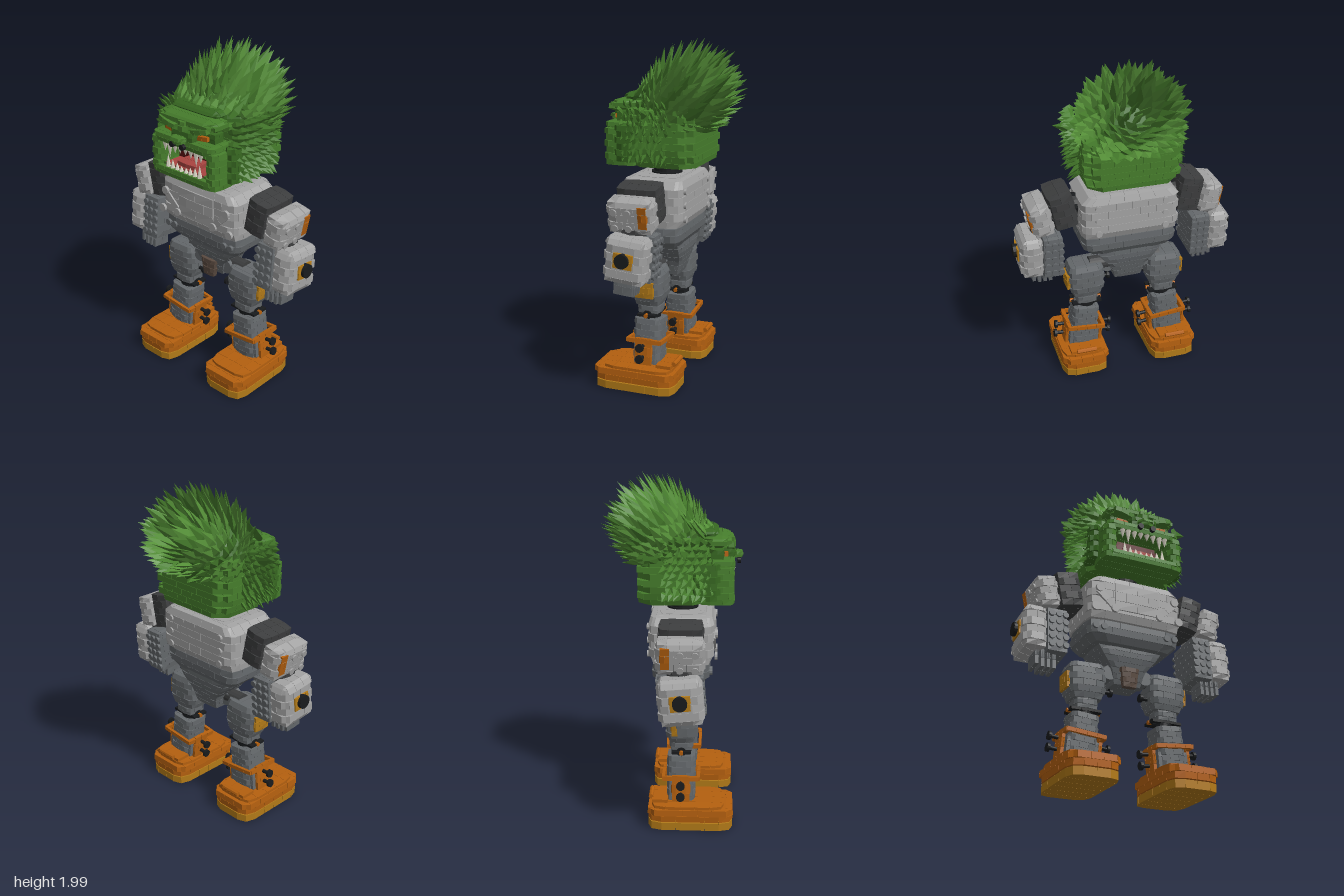
import * as THREE from 'three';
import { mergeGeometries } from 'three/addons/utils/BufferGeometryUtils.js';

const COLORS = {
  light: 0xa3a3a3, grey: 0x64686b, dark: 0x3c3d3e, black: 0x191b1d, green: 0x467d2c, darkGreen: 0x376821,
  leaf: 0x558f38, orange: 0xb4600f, amber: 0xb27a18, brown: 0x5a4a40, red: 0x5a1214, pink: 0xa84440, white: 0xd8d4c4,
};
const V = (x, y, z) => new THREE.Vector3(x, y, z);
const span = (n, size, f) => Array.from({ length: n }, (_, i) => f(n === 1 ? 0 : (i / (n - 1) - 0.5) * size));
const STRAIGHT = [[0, 1, 1], [1, 1, 1]];

export function createModel() {
  const root = new THREE.Group();
  const mats = {};
  for (const [k, color] of Object.entries(COLORS)) {
    mats[k] = new THREE.MeshStandardMaterial({ color, flatShading: true });
  }
  let seed = 7;
  const rand = () => (seed = (seed * 16807) % 2147483647) / 2147483647;

  function add(parent, name, geo, mat, x = 0, y = 0, z = 0, rx = 0, ry = 0, rz = 0) {
    const m = new THREE.Mesh(geo, mats[mat]);
    m.name = name;
    m.position.set(x, y, z);
    m.rotation.set(rx, ry, rz);
    parent.add(m);
    return m;
  }
  function group(name, x = 0, y = 0, z = 0, rx = 0, rz = 0) {
    const g = new THREE.Group();
    g.name = name;
    g.position.set(x, y, z);
    g.rotation.set(rx, 0, rz);
    root.add(g);
    return g;
  }

  // Staggered shell of bricks round a solid core. Upright edges are cut back by
  // cut, top and bottom edges by rim; profile rows are [height 0..1, x scale, z scale].
  function bricks(w, h, d, [nx, ny, nz], cut = 0.005, rim = 0.003, profile = STRAIGHT) {
    const size = [w, h, d];
    const shape = (geo) => {
      const p = geo.attributes.position;
      for (let i = 0; i < p.count; i++) {
        const v = [p.getX(i), p.getY(i), p.getZ(i)];
        const outer = v.map((c, a) => Math.abs(c) > size[a] / 2 - 0.001);
        const pull = outer[0] && outer[2] ? cut : rim;
        if (outer.filter(Boolean).length > 1) {
          v.forEach((c, a) => { if (outer[a]) v[a] -= Math.sign(c) * (a === 1 ? rim : pull); });
        }
        const t = THREE.MathUtils.clamp(v[1] / h + 0.5, 0, 1);
        const k = Math.max(1, profile.findIndex((r) => r[0] >= t));
        const a = profile[k - 1], b = profile[k], f = (t - a[0]) / (b[0] - a[0]);
        p.setXYZ(i, v[0] * (a[1] + (b[1] - a[1]) * f), v[1], v[2] * (a[2] + (b[2] - a[2]) * f));
      }
      return geo;
    };
    const stops = (len, n, shift) => {
      const s = [-len / 2];
      for (let i = 1; i < n + (shift ? 1 : 0); i++) s.push(-len / 2 + ((i - (shift ? 0.5 : 0)) * len) / n);
      return [...s, len / 2];
    };
    const inset = [Math.max(cut, rim), rim, Math.max(cut, rim)], g = 0.0014;
    const out = [shape(new THREE.BoxGeometry(...size.map((s, a) => Math.max(s - 2 * inset[a] - 0.005, s * 0.3)), 1, 6, 1))];
    const ys = stops(h, ny, false);
    for (let j = 0; j < ny; j++) {
      const xs = stops(w, nx, j % 2), zs = stops(d, nz, j % 2);
      for (let i = 0; i < xs.length - 1; i++) for (let k = 0; k < zs.length - 1; k++) {
        if (i && k && j && i < xs.length - 2 && k < zs.length - 2 && j < ny - 1) continue;
        const b = new THREE.BoxGeometry(xs[i + 1] - xs[i] - g, ys[j + 1] - ys[j] - g, zs[k + 1] - zs[k] - g);
        out.push(shape(b.translate((xs[i] + xs[i + 1]) / 2, (ys[j] + ys[j + 1]) / 2, (zs[k] + zs[k + 1]) / 2)));
      }
    }
    return mergeGeometries(out);
  }
  // Grid of round studs facing z
  function studs(nx, ny, w, h, r = 0.019) {
    const list = span(nx, w, (x) => span(ny, h, (y) =>
      new THREE.CylinderGeometry(r, r, 0.016, 12).rotateX(Math.PI / 2).translate(x, y, 0))).flat();
    return mergeGeometries(list);
  }
  const rod = (r, len, n = 16) => new THREE.CylinderGeometry(r, r, len, n);
  // Pin with a head, along x
  function pin(parent, x, y, z, s) {
    add(parent, 'pinShaft', rod(0.011, 0.06), 'black', x, y, z, 0, 0, Math.PI / 2);
    add(parent, 'pinHead', rod(0.024, 0.016), 'black', x + s * 0.03, y, z, 0, 0, Math.PI / 2);
  }

  // Legs and arms, mirrored
  for (const s of [1, -1]) {
    const foot = group('foot', s * 0.285, 0, 0.115);
    add(foot, 'sole', bricks(0.292, 0.052, 0.49, [4, 1, 6], 0.022), 'amber', 0, 0.026, 0);
    add(foot, 'footBody', bricks(0.292, 0.078, 0.49, [4, 2, 6], 0.022, 0.002), 'orange', 0, 0.091, 0);
    add(foot, 'footTop', bricks(0.285, 0.024, 0.42, [4, 1, 5], 0.02), 'orange', 0, 0.138, -0.015);
    add(foot, 'heelStep', bricks(0.2, 0.026, 0.1, [3, 1, 1]), 'orange', 0, 0.16, -0.175);
    add(foot, 'heelClip', rod(0.014, 0.12, 8), 'orange', 0, 0.172, -0.227, 0, 0, Math.PI / 2);

    const shin = group('shin', s * 0.265, 0.28, 0.06, 0, s * 0.1);
    add(shin, 'shinBlock', bricks(0.165, 0.27, 0.165, [3, 8, 3], 0.012), 'grey');
    add(shin, 'ankleBlock', bricks(0.192, 0.12, 0.14, [3, 4, 2]), 'grey', 0, -0.07, 0);
    for (const e of [1, -1]) {
      add(shin, 'ankleBracket', bricks(0.03, 0.16, 0.11, [1, 3, 2]), 'orange', e * 0.107, -0.05, 0);
      add(shin, 'ankleBar', bricks(0.24, 0.03, 0.026, [4, 1, 1]), 'orange', 0, 0.01, e * 0.1);
      add(shin, 'ankleSideBar', bricks(0.032, 0.032, 0.21, [1, 1, 4]), 'orange', e * 0.107, 0.01, 0);
      for (const y of [-0.015, -0.08]) pin(shin, e * 0.14, y, 0, e);
    }
    const knee = group('knee', s * 0.245, 0.44, 0.06);
    add(knee, 'kneePlate', bricks(0.19, 0.022, 0.12, [3, 1, 2]), 'black');
    add(knee, 'kneeBlock', bricks(0.14, 0.075, 0.14, [2, 3, 2], 0.012), 'grey', 0, 0.04, 0);
    add(knee, 'kneeNeck', rod(0.055, 0.04), 'black', 0, -0.02, 0);
    add(knee, 'kneeHub', rod(0.026, 0.15), 'black', 0, 0, 0, 0, 0, Math.PI / 2);
    add(knee, 'kneeHubCentre', rod(0.012, 0.194), 'orange', 0, 0, 0, 0, 0, Math.PI / 2);

    const thigh = group('thigh', s * 0.245, 0.605, 0.06, 0, s * -0.03);
    add(thigh, 'thighBlock', bricks(0.22, 0.215, 0.18, [3, 6, 3], 0.015, 0.004, [[0, 0.8, 0.85], [0.3, 1, 1], [0.8, 1, 1], [1, 0.88, 0.85]]), 'grey');
    add(thigh, 'thighPlate', bricks(0.03, 0.1, 0.12, [1, 3, 2]), 'amber', s * 0.112, 0, 0);
    pin(thigh, s * -0.12, -0.04, 0.02, -s);
    add(root, 'hipAxle', rod(0.045, 0.16), 'dark', s * 0.14, 0.69, 0.05, 0, 0, Math.PI / 2);
    add(root, 'hipDisc', rod(0.042, 0.1), 'grey', s * 0.11, 0.68, 0.06, Math.PI / 2);

    const shoulder = group('shoulder', s * 0.44, 1.1, 0.06, 0, s * -0.2);
    add(shoulder, 'shoulderJoint', bricks(0.15, 0.21, 0.25, [2, 5, 4], 0.012, 0.004), 'dark', s * -0.06, 0.005, 0);
    add(shoulder, 'shoulderPad', bricks(0.135, 0.205, 0.27, [2, 5, 4], 0.016, 0.014), 'light', s * 0.075, -0.01, 0);
    add(shoulder, 'shoulderPatch', bricks(0.03, 0.13, 0.06, [1, 3, 1]), 'orange', s * 0.133, 0, -0.08);
    add(shoulder, 'shoulderStuds', studs(2, 2, 0.08, 0.09), 'light', s * 0.143, -0.02, 0.04, 0, Math.PI / 2);
    add(root, 'shoulderAxle', rod(0.065, 0.2), 'black', s * 0.29, 1.11, 0.06, 0, 0, Math.PI / 2);
    add(root, 'elbow', bricks(0.13, 0.14, 0.15, [2, 2, 2], 0.02), 'dark', s * 0.5, 0.98, 0.06);

    const arm = group('forearm', s * 0.52, 0.835, 0.065, -0.09);
    add(arm, 'forearmInner', bricks(0.125, 0.275, 0.24, [2, 6, 4], 0.006, 0.006), 'grey', s * -0.068, 0, 0);
    add(arm, 'forearmOuter', bricks(0.145, 0.27, 0.25, [2, 6, 4], 0.018, 0.016), 'light', s * 0.052, 0.005, 0);
    for (const e of [1, -1]) {
      add(arm, 'forearmStuds', studs(3, 5, 0.08, 0.19, 0.017), 'grey', s * -0.073, 0, e * 0.122);
    }
    add(arm, 'elbowPlate', bricks(0.03, 0.09, 0.12, [1, 2, 2]), 'amber', s * 0.122, 0.015, 0);
    add(arm, 'elbowCap', rod(0.04, 0.03), 'black', s * 0.137, 0.02, 0, 0, 0, Math.PI / 2);
    for (let i = 0; i < 4; i++) {
      add(arm, 'finger', bricks(0.031, 0.11, 0.12, [1, 2, 2]), 'grey', s * (-0.063 + i * 0.033), -0.165 + (i === 3 ? 0.012 : 0), 0.02);
    }
  }

  // Torso
  const torso = group('torso', 0, 0, 0.055);
  add(torso, 'chest', bricks(0.58, 0.27, 0.37, [6, 6, 5], 0.018, 0.004, [[0, 1, 0.92], [0.15, 1, 1], [0.84, 1, 1], [1, 0.84, 0.94]]), 'light', 0, 1.08, 0);
  add(torso, 'waist', bricks(0.57, 0.125, 0.33, [6, 3, 4], 0.018, 0.003, [[0, 0.82, 0.84], [0.4, 1, 1], [1, 1, 1]]), 'grey', 0, 0.884, 0);
  add(torso, 'chestPanel', bricks(0.28, 0.17, 0.03, [2, 3, 1]), 'light', 0, 1.09, 0.182);
  for (const s of [1, -1]) {
    add(torso, 'chestStrut', bricks(0.16, 0.045, 0.025, [2, 1, 1]), 'light', s * 0.185, 1.06, 0.186, 0, 0, s * 0.75);
    for (const [x, y] of [[0.235, 1.12], [0.14, 1.01], [0.26, 1.0]]) {
      add(torso, 'chestStud', studs(1, 1, 0, 0, 0.024), 'light', s * x, y, 0.196);
    }
    add(torso, 'waistStuds', studs(2, 1, 0.05, 0), 'grey', s * 0.22, 0.9, 0.168);
    add(torso, 'backStuds', studs(1, 3, 0, 0.16), 'light', s * 0.2, 1.07, -0.186);
  }
  add(torso, 'collar', bricks(0.36, 0.03, 0.26, [4, 1, 3], 0.015), 'light', 0, 1.205, 0);
  const taper = [[0, 0.4, 0.6], [0.4, 0.5, 0.8], [0.7, 0.78, 0.95], [1, 1, 1]];
  add(torso, 'pelvis', bricks(0.42, 0.22, 0.25, [4, 7, 3], 0.01, 0.003, taper), 'grey', 0, 0.725, -0.02);
  add(torso, 'pelvisFront', bricks(0.13, 0.12, 0.06, [2, 4, 1], 0.01, 0.003, [[0, 0.7, 0.7], [1, 1, 1]]), 'brown', 0, 0.655, 0.075);
  for (const y of [1.215, 1.24, 1.265]) add(torso, 'neckRing', rod(y === 1.24 ? 0.075 : 0.09, 0.026, 20), 'black', 0, y, 0);

  // Head: skull with a face built round an open mouth
  const head = group('head');
  add(head, 'skull', bricks(0.57, 0.33, 0.38, [7, 9, 5], 0.04, 0.004, [[0, 0.92, 1], [0.3, 1, 1], [1, 1, 1]]), 'green', 0, 1.445, 0);
  add(head, 'chin', bricks(0.47, 0.055, 0.2, [7, 2, 3], 0.014), 'green', 0, 1.307, 0.253);
  add(head, 'upperLip', bricks(0.46, 0.055, 0.18, [7, 2, 3], 0.014), 'green', 0, 1.5, 0.262);
  add(head, 'muzzle', bricks(0.18, 0.06, 0.15, [3, 2, 2], 0.012), 'darkGreen', 0, 1.55, 0.28);
  add(head, 'nose', bricks(0.11, 0.05, 0.08, [2, 2, 1], 0.018, 0.006), 'green', 0, 1.53, 0.36);
  add(head, 'noseBridge', bricks(0.07, 0.09, 0.05, [2, 3, 1], 0.01, 0.006), 'green', 0, 1.59, 0.33);
  add(head, 'brow', bricks(0.42, 0.07, 0.16, [6, 3, 3], 0.03, 0.012), 'green', 0, 1.62, 0.25);
  add(head, 'forehead', bricks(0.36, 0.05, 0.14, [5, 2, 2], 0.02, 0.012), 'darkGreen', 0, 1.665, 0.19);
  add(head, 'throat', bricks(0.32, 0.15, 0.02, [2, 2, 1]), 'red', 0, 1.4, 0.205);
  add(head, 'gum', bricks(0.3, 0.02, 0.12, [3, 1, 1]), 'pink', 0, 1.343, 0.27);
  add(head, 'tongue', bricks(0.16, 0.03, 0.12, [2, 1, 2], 0.01), 'pink', 0, 1.362, 0.26);
  for (const s of [1, -1]) {
    add(head, 'cheek', bricks(0.09, 0.215, 0.195, [2, 6, 3], 0.014), 'green', s * 0.205, 1.388, 0.25);
    add(head, 'jowl', bricks(0.07, 0.21, 0.17, [1, 6, 3], 0.018), 'darkGreen', s * 0.262, 1.415, 0.185);
    add(head, 'mouthCorner', bricks(0.035, 0.04, 0.12, [1, 2, 2]), 'green', s * 0.145, 1.465, 0.27);
    add(head, 'jawCorner', bricks(0.035, 0.03, 0.12, [1, 1, 2]), 'green', s * 0.15, 1.335, 0.27);
    add(head, 'eye', bricks(0.085, 0.032, 0.03, [2, 1, 1]), 'orange', s * 0.12, 1.55, 0.3, 0, 0, s * 0.12);
    add(head, 'eyeSocket', bricks(0.13, 0.06, 0.08, [2, 2, 1]), 'darkGreen', s * 0.13, 1.555, 0.25);
    add(head, 'eyebrow', bricks(0.14, 0.035, 0.05, [3, 1, 1], 0.01), 'green', s * 0.12, 1.595, 0.325, 0, 0, s * 0.25);
    add(head, 'nostril', rod(0.017, 0.02, 10), 'black', s * 0.038, 1.5, 0.375, Math.PI / 2);
    // [x, length] of upper and lower teeth
    for (const [x, l] of [[0.02, 0.04], [0.06, 0.05], [0.1, 0.085], [0.135, 0.055]]) {
      add(head, 'upperTooth', new THREE.ConeGeometry(0.017, l, 6), 'white', s * x, 1.477 - l / 2, 0.335, Math.PI);
    }
    for (const [x, l] of [[0.018, 0.03], [0.05, 0.04], [0.085, 0.05], [0.12, 0.075]]) {
      add(head, 'lowerTooth', new THREE.ConeGeometry(0.015, l, 6), 'white', s * x, 1.332 + l / 2, 0.33);
    }
  }

  // Leaf-like spike with a flat side along the surface normal
  const leaf = new THREE.LatheGeometry([[0.55, 0], [1, 0.35], [0, 1]].map(([x, y]) => new THREE.Vector2(x, y)), 4);
  function spike(base, dir, normal, len, r) {
    const y = dir.clone().normalize();
    const x = y.clone().cross(normal).normalize();
    const z = x.clone().cross(y);
    const m = new THREE.Matrix4().makeBasis(x.multiplyScalar(r), y.multiplyScalar(len), z.multiplyScalar(r * 0.4));
    return leaf.clone().applyMatrix4(m.setPosition(base));
  }
  const centre = V(0, 1.58, -0.015), radii = V(0.265, 0.215, 0.21);
  add(head, 'scalp', new THREE.SphereGeometry(1, 20, 14).scale(radii.x, radii.y, radii.z), 'darkGreen', ...centre);

  // Mane swept up and back
  const mane = [[], []];
  const count = 360;
  for (let i = 0; i < count; i++) {
    const ny = 1 - (2 * (i + 0.5)) / count, a = i * 2.39996, q = Math.sqrt(1 - ny * ny);
    const n = V(q * Math.cos(a), ny, q * Math.sin(a));
    const base = n.clone().multiply(radii).multiplyScalar(0.94).add(centre);
    if (base.y < 1.48 || (base.z > 0.1 && base.y < 1.63)) continue;
    const dir = n.clone().add(V((rand() - 0.5) * 0.35, 0.55 + (rand() - 0.5) * 0.25, -0.8));
    const len = 0.1 + 0.13 * THREE.MathUtils.clamp(0.95 * n.y - 0.55 * n.z, 0, 1) + (rand() - 0.35) * 0.05;
    mane[i % 3 ? 0 : 1].push(spike(base, dir, n, len, 0.033 + rand() * 0.014));
  }
  // Hairline rows over the forehead
  for (const [y, z] of [[1.65, 0.24], [1.69, 0.185]]) for (let i = -5; i <= 5; i++) {
    const base = V(i * 0.039, y + rand() * 0.015, z - Math.abs(i) * 0.013);
    mane[i & 1].push(spike(base, V(i * 0.08, 0.85, -0.7), V(0, 1, 1), 0.11 + rand() * 0.03, 0.036));
  }
  add(head, 'mane', mergeGeometries(mane[0]), 'leaf');
  add(head, 'maneShade', mergeGeometries(mane[1]), 'green');

  // Cheek fur and ears
  for (const s of [1, -1]) {
    const fur = [];
    for (let r = 0; r < 9; r++) for (let c = 0; c < 7; c++) {
      const y = 1.355 + r * 0.034, z = -0.03 + (c + (r % 2) / 2) * 0.04;
      const base = V(s * (0.268 - Math.max(0, z - 0.16) * 0.4), y, z);
      fur.push(spike(base, V(s * 0.7, (y - 1.52) * 2.2, -0.45 + rand() * 0.4), V(s, 0, 0.3), 0.075 + rand() * 0.03, 0.027));
    }
    add(head, 'cheekFur', mergeGeometries(fur), 'green');
    add(head, 'ear', spike(V(s * 0.25, 1.57, 0.09), V(s, 0.27, -0.25), V(0, 0.3, 1), 0.17, 0.045), 'green');
  }
  return root;
}
